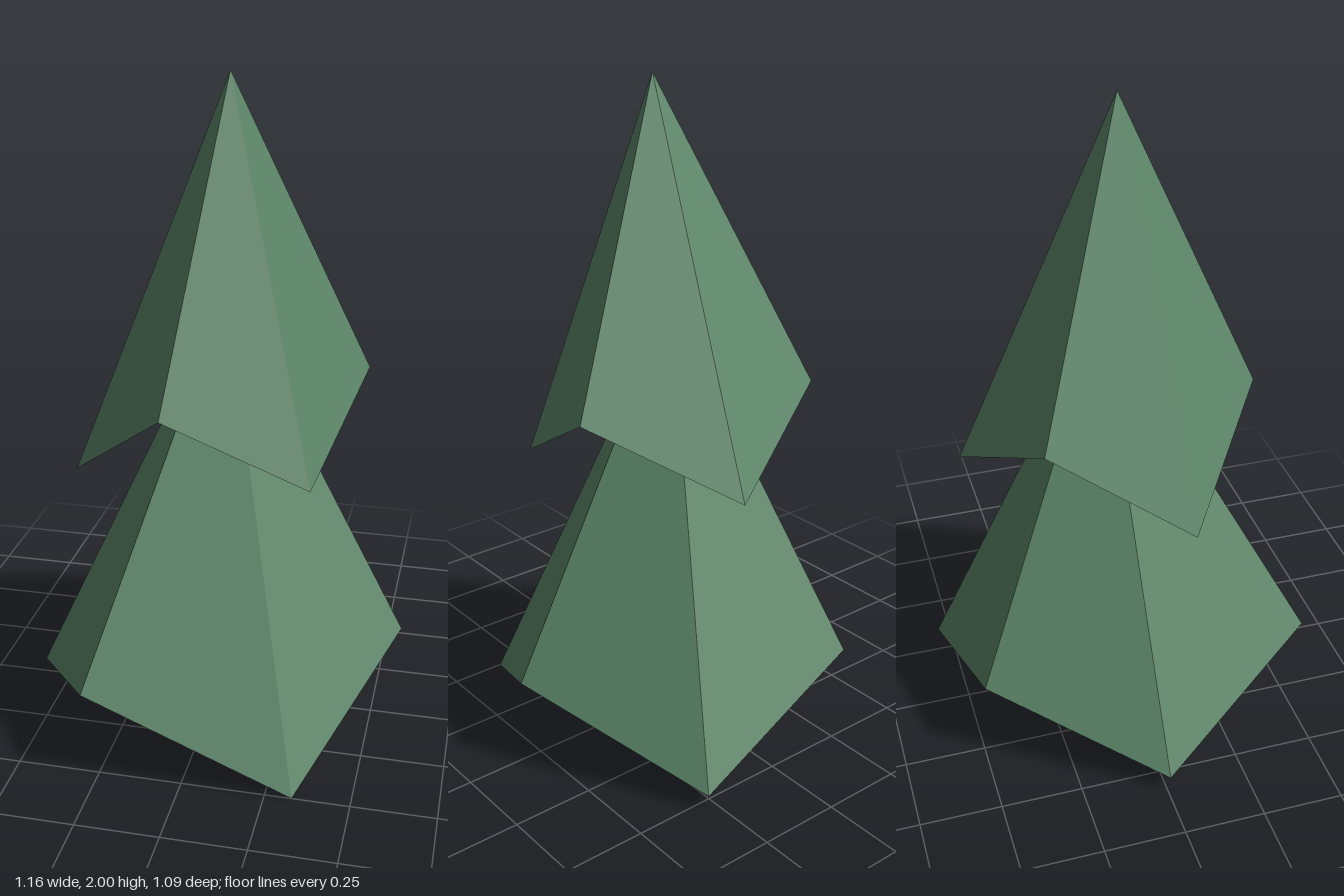
import * as THREE from 'three';

// A six-sided foliage tier: a faceted cone with a zigzag rim and a hollowed underside
function makeTier(name, material, tip, hub, rim) {
  const points = [];
  rim.forEach((p, i) => {
    const next = rim[(i + 1) % rim.length];
    points.push(...tip, ...next, ...p); // outer face
    points.push(...hub, ...p, ...next); // underside face
  });
  const geometry = new THREE.BufferGeometry();
  geometry.setAttribute('position', new THREE.Float32BufferAttribute(points, 3));
  geometry.computeVertexNormals(); // unshared corners give flat facets
  const mesh = new THREE.Mesh(geometry, material);
  mesh.name = name;
  return mesh;
}

export function createModel() {
  const foliage = new THREE.MeshStandardMaterial({ color: 0x5c8668 });
  foliage.name = 'foliage green';

  const tree = new THREE.Group();
  tree.name = 'tree';

  // Rims run left, back, right, front, with alternating high and low corners
  tree.add(makeTier('lowerFoliage', foliage, [0.02, 1.36, -0.035], [0.02, 0.39, -0.035], [
    [-0.583, 0.053, 0.008], [-0.293, 0.29, -0.493], [0.29, 0.053, -0.546],
    [0.582, 0.29, -0.035], [0.33, 0, 0.5], [-0.286, 0.29, 0.544],
  ]));
  tree.add(makeTier('upperFoliage', foliage, [0.04, 2, 0.02], [0.04, 1.18, 0.02], [
    [-0.408, 0.815, 0.13], [-0.31, 1.105, -0.29], [0.097, 0.88, -0.46],
    [0.436, 1.105, -0.16], [0.327, 0.87, 0.265], [-0.075, 1.105, 0.413],
  ]));
  return tree;
}
